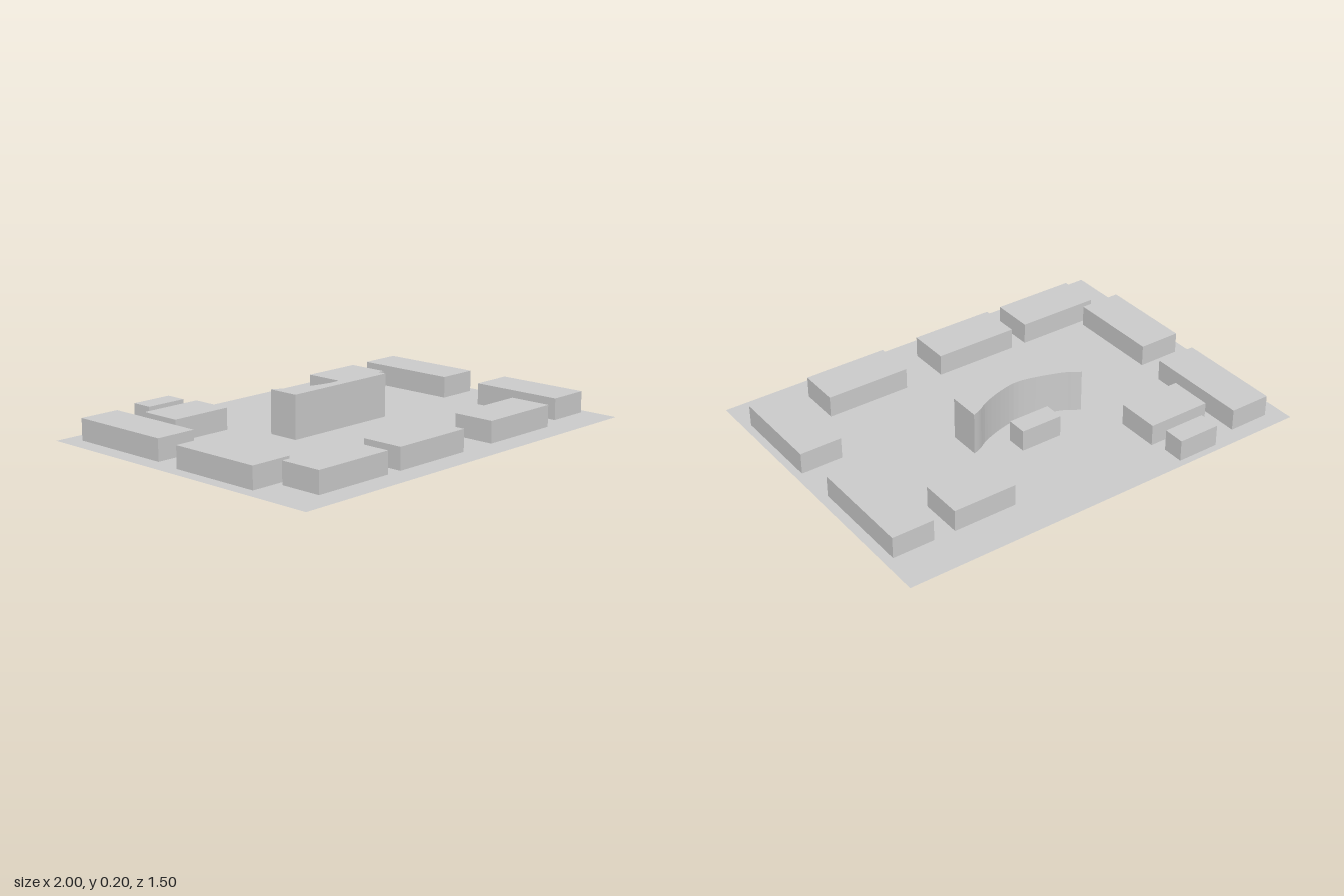
import * as THREE from 'three';

export function createModel() {
  const model = new THREE.Group();
  model.name = 'sitePlan';
  const grey = new THREE.MeshStandardMaterial({ color: 0xcccccc, flatShading: true });

  function add(name, geometry, material = grey) {
    const mesh = new THREE.Mesh(geometry, material);
    mesh.name = name;
    model.add(mesh);
    return mesh;
  }

  // Thin ground sheet, seen from both sides
  const sheet = grey.clone();
  sheet.side = THREE.DoubleSide;
  add('ground', new THREE.PlaneGeometry(2, 1.505).rotateX(-Math.PI / 2), sheet);

  // Low blocks around the court: name, x from, x to, z from, z to
  const height = 0.1;
  const blocks = [
    ['rightBackBlock', -0.92, -0.725, -0.675, -0.175],
    ['rightFrontBlock', -0.94, -0.74, -0.04, 0.405],
    ['leftBackBlock', 0.76, 0.955, -0.56, -0.06],
    ['leftFrontBlock', 0.765, 0.965, 0.14, 0.585],
    ['backSmallBlock', -0.59, -0.39, -0.72, -0.62],
    ['backRightBlock', -0.665, -0.365, -0.56, -0.36],
    ['backLeftBlock', 0.36, 0.66, -0.56, -0.36],
    ['frontRightBlock', -0.81, -0.415, 0.435, 0.635],
    ['frontMiddleBlock', -0.34, 0.06, 0.435, 0.635],
    ['frontLeftBlock', 0.245, 0.645, 0.435, 0.635],
    ['courtBlock', -0.09, 0.11, -0.27, -0.175],
  ];
  for (const [name, x0, x1, z0, z1] of blocks) {
    add(name, new THREE.BoxGeometry(x1 - x0, height, z1 - z0))
      .position.set((x0 + x1) / 2, height / 2, (z0 + z1) / 2);
  }

  // Tall central building: straight front, hollowed back (plan drawn with y = -z)
  const backCurve = [
    [0.29, 0.165], [0.25, 0.15], [0.19, 0.115], [0.09, 0.08], [0, 0.065],
    [-0.09, 0.08], [-0.21, 0.12], [-0.25, 0.145], [-0.285, 0.165],
  ].map(([x, y]) => new THREE.Vector2(x, y));
  const plan = new THREE.Shape();
  plan.moveTo(-0.285, 0.015);
  plan.lineTo(0.29, 0.015);
  plan.lineTo(0.29, 0.165);
  plan.splineThru(backCurve.slice(1));
  plan.closePath();
  const tower = new THREE.ExtrudeGeometry(plan, { depth: 0.2, bevelEnabled: false, curveSegments: 3 });
  add('centralBuilding', tower.rotateX(-Math.PI / 2));

  return model;
}
